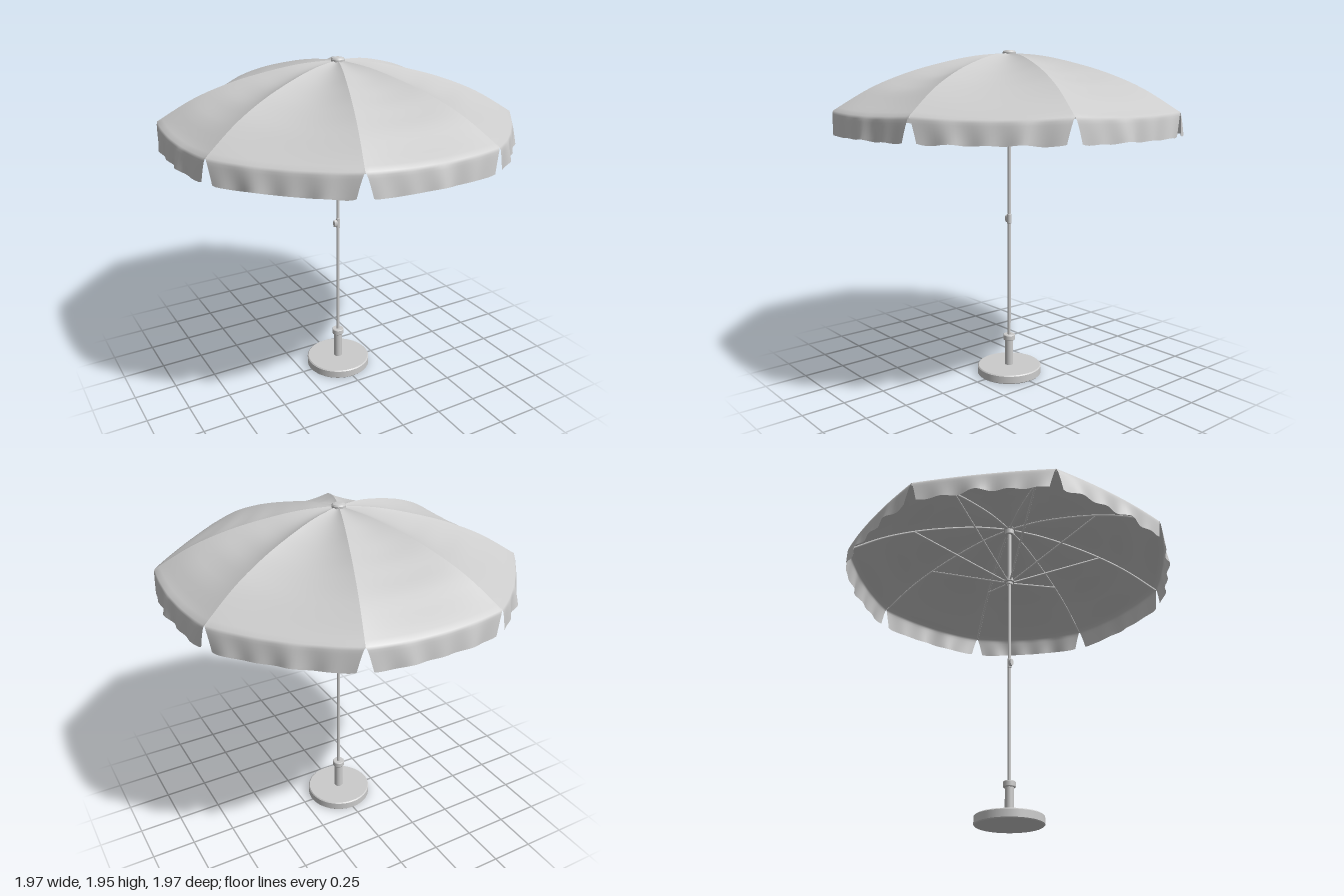
import * as THREE from 'three';

const SIDES = 8;
const RIM = 1.0; // radius of the rib tips
const material = new THREE.MeshStandardMaterial({ color: 0xcccccc, side: THREE.DoubleSide });

// Height of a rib over its distance from the pole
const ribCurve = new THREE.SplineCurve([
  [0, 1.935], [0.2, 1.918], [0.4, 1.877], [0.6, 1.82], [0.8, 1.738], [1, 1.62],
].map(([r, y]) => new THREE.Vector2(r, y)));
const ribPoint = (t) => ribCurve.getPoint(t);

function add(parent, name, geometry) {
  const mesh = new THREE.Mesh(geometry, material);
  mesh.name = name;
  parent.add(mesh);
  return mesh;
}

// Turned part from [radius, height] pairs; doubled points keep edges sharp
function turned(profile, segments = 40) {
  const points = [];
  profile.forEach(([r, y], i) => {
    points.push(new THREE.Vector2(r, y));
    if (i > 0 && i < profile.length - 1) points.push(new THREE.Vector2(r, y));
  });
  return new THREE.LatheGeometry(points, segments);
}

// Thin rod between two points
function rod(a, b, radius) {
  return new THREE.TubeGeometry(new THREE.LineCurve3(a, b), 1, radius, 8);
}

// One cloth panel facing +z: sagging top, then the hanging flap
function panelGeometry(seed) {
  const COLS = 36, TOP = 24, FLAP = 8;
  const half = Math.PI / SIDES;
  const positions = [], index = [];
  for (let j = 0; j <= TOP + FLAP; j++) {
    const t = Math.max(0.02, Math.min(1, j / TOP));
    const s = Math.max(0, (j - TOP) / FLAP);
    const { x: r, y: height } = ribPoint(t);
    for (let i = 0; i <= COLS; i++) {
      const u = (i / COLS) * 2 - 1;
      const span = 1 - u * u; // 0 at the ribs, 1 mid panel
      const ripple = 0.003 * Math.sin(t * 34 + seed) * span * t;
      const narrow = 1 - 0.09 * Math.pow(s, 0.8);
      const wave = Math.sin(u * 12.5 + seed) * 0.6 + Math.sin(u * 7 + seed * 2.3) * 0.4;
      const x = r * Math.sin(half) * u * narrow;
      let y = height - span * (0.032 * Math.sin(Math.PI * t) + 0.012 * t * t) + ripple;
      let z = r * Math.cos(half) + 0.032 * span * t * t * t;
      if (s > 0) {
        const hem = 1.482 + 0.006 * (1 + wave) * (1 - Math.pow(u, 8)) + 0.012 * Math.pow(u, 16);
        y = THREE.MathUtils.lerp(y, hem, s);
        z += 0.014 * Math.sqrt(s) + s * (0.004 + 0.016 * wave * (0.4 + 0.6 * span));
      }
      positions.push(x, y, z);
    }
  }
  const row = COLS + 1;
  for (let j = 0; j < TOP + FLAP; j++) {
    for (let i = 0; i < COLS; i++) {
      const a = j * row + i, b = a + row;
      index.push(a, b, a + 1, a + 1, b, b + 1);
    }
  }
  const geometry = new THREE.BufferGeometry();
  geometry.setAttribute('position', new THREE.Float32BufferAttribute(positions, 3));
  geometry.setIndex(index);
  geometry.computeVertexNormals();
  return geometry;
}

export function createModel() {
  const model = new THREE.Group();
  model.name = 'parasol';

  // Weighted foot, socket tube and clamping collar
  const base = new THREE.Group();
  base.name = 'base';
  model.add(base);
  add(base, 'footDisc', turned([[0, 0], [0.19, 0], [0.195, 0.005], [0.195, 0.047], [0.189, 0.053], [0, 0.053]], 64));
  add(base, 'socketTube', turned([[0.025, 0.05], [0.025, 0.215], [0, 0.215]]));
  add(base, 'collar', turned([
    [0.025, 0.212], [0.034, 0.212], [0.036, 0.216], [0.036, 0.242], [0.033, 0.246], [0.01, 0.246],
  ]));

  // Pole in two sections with a locking sleeve
  add(model, 'lowerPole', new THREE.CylinderGeometry(0.0095, 0.0095, 1.4, 20).translate(0, 0.9, 0));
  add(model, 'upperPole', new THREE.CylinderGeometry(0.013, 0.013, 0.41, 20).translate(0, 1.725, 0));
  add(model, 'poleSleeve', turned([[0.009, 0.937], [0.0125, 0.94], [0.0125, 0.996], [0.009, 0.999]], 24));
  const knob = add(model, 'sleeveKnob', new THREE.CylinderGeometry(0.022, 0.024, 0.02, 20));
  knob.geometry.rotateZ(Math.PI / 2).scale(1, 1, 0.5);
  knob.position.set(-0.017, 0.967, 0);

  // Runner and the crown that holds the ribs
  add(model, 'runner', turned([
    [0.012, 1.51], [0.022, 1.51], [0.022, 1.525], [0.032, 1.528], [0.032, 1.542], [0.022, 1.545], [0.022, 1.56], [0.012, 1.56],
  ], 24));
  add(model, 'crown', turned([[0.012, 1.885], [0.03, 1.885], [0.03, 1.92], [0.012, 1.92]], 24));
  add(model, 'topCap', turned([
    [0, 1.915], [0.036, 1.92], [0.039, 1.925], [0.039, 1.938], [0.034, 1.946], [0.02, 1.95], [0, 1.951],
  ], 32));

  // Ribs and struts under every seam, cloth panels between them
  const ribPath = new THREE.CatmullRomCurve3(
    [0.02, 0.2, 0.4, 0.6, 0.8, 0.99].map((t) => {
      const p = ribPoint(t);
      return new THREE.Vector3(0, p.y - 0.009, p.x * RIM);
    }));
  const ribGeometry = new THREE.TubeGeometry(ribPath, 24, 0.007, 8);
  const joint = ribPoint(0.61);
  const strutGeometry = rod(
    new THREE.Vector3(0, 1.535, 0.028), new THREE.Vector3(0, joint.y - 0.012, joint.x), 0.0055);

  const frame = new THREE.Group();
  frame.name = 'frame';
  const canopy = new THREE.Group();
  canopy.name = 'canopy';
  model.add(frame, canopy);
  for (let k = 0; k < SIDES; k++) {
    const angle = (k / SIDES) * Math.PI * 2;
    const seam = angle + Math.PI / SIDES;
    add(frame, 'rib', ribGeometry).rotation.y = seam;
    add(frame, 'strut', strutGeometry).rotation.y = seam;
    add(canopy, 'panel', panelGeometry(k * 1.7 + 0.6)).rotation.y = angle;
  }
  return model;
}
